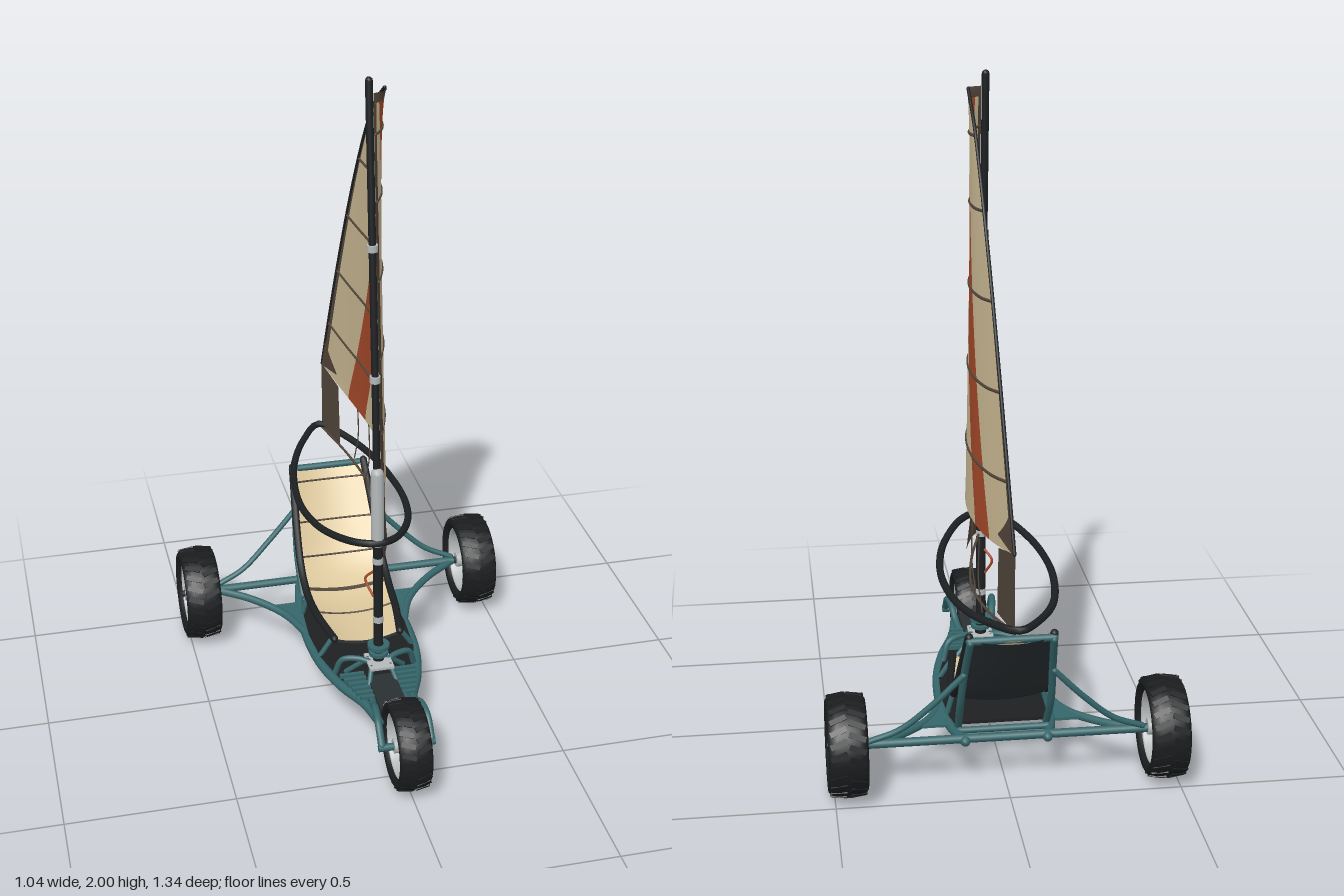
import * as THREE from 'three';

const mat = (color, side = THREE.FrontSide) => new THREE.MeshStandardMaterial({ color, side });
const TEAL = mat(0x35666a), BLACK = mat(0x1d2022), DARK = mat(0x2a2f32, THREE.DoubleSide);
const SILVER = mat(0xb4b8b8, THREE.DoubleSide), RUBBER = mat(0x1a1c1e);
const CLOTH = mat(0xcdbb94, THREE.DoubleSide), SEAT = mat(0xdcc79c, THREE.DoubleSide);
const ORANGE = mat(0xa84a2a, THREE.DoubleSide), BROWN = mat(0x51453a, THREE.DoubleSide);
const lerp = THREE.MathUtils.lerp;
const V = (p) => new THREE.Vector3(...p);

function add(parent, name, geo, material, pos = [0, 0, 0]) {
  const m = new THREE.Mesh(geo, material);
  m.name = name;
  m.position.set(...pos);
  parent.add(m);
  return m;
}

function tube(parent, name, material, pts, r, closed = false) {
  const curve = new THREE.CatmullRomCurve3(pts.map(V), closed);
  const seg = pts.length === 2 ? 1 : pts.length * 6;
  const m = add(parent, name, new THREE.TubeGeometry(curve, seg, r, 10, closed), material);
  if (!closed) // round ends
    for (const p of [pts[0], pts[pts.length - 1]]) add(m, name + 'End', new THREE.SphereGeometry(r, 10, 6), material, p);
  return m;
}

// the same tube on the left and on the right
function tubePair(parent, name, material, pts, r) {
  tube(parent, name + 'Left', material, pts, r);
  tube(parent, name + 'Right', material, pts.map(([x, y, z]) => [-x, y, z]), r);
}

// curved sheet from a rule (s, t in 0..1) -> [x, y, z]
function sheet(parent, name, material, ns, nt, rule) {
  const g = new THREE.PlaneGeometry(1, 1, ns, nt);
  const p = g.attributes.position;
  for (let i = 0; i < p.count; i++) p.setXYZ(i, ...rule(p.getX(i) + 0.5, p.getY(i) + 0.5));
  g.computeVertexNormals();
  return add(parent, name, g, material);
}

// ---- wheels: axle along x
function wheel(name, R, W) {
  const g = new THREE.Group();
  g.name = name;
  const h = W / 2, ri = R * 0.72;
  const ring = (pts) => new THREE.LatheGeometry(pts.map(([r, y]) => new THREE.Vector2(r, y)), 48).rotateZ(Math.PI / 2);
  const half = [[ri, -h * 0.72], [R * 0.78, -h * 0.95], [R * 0.87, -h * 0.98], [R * 0.94, -h * 0.86], [R * 0.975, -h * 0.55]];
  const mirrored = half.map(([r, y]) => [r, -y]).reverse();
  add(g, 'tyre', ring([...half, [R * 0.985, 0], ...mirrored]), RUBBER);
  add(g, 'rim', ring([[ri, -h * 0.72], [ri * 0.93, -h * 0.66], [ri * 0.88, 0], [ri * 0.93, h * 0.66], [ri, h * 0.72]]), SILVER);
  // chevron tread blocks
  const n = 26, block = new THREE.BoxGeometry(h * 0.85, R * 0.035, R * 0.11);
  for (let i = 0; i < n; i++)
    for (const s of [-1, 1]) {
      const spin = new THREE.Group();
      spin.rotation.x = ((i + (s > 0 ? 0.5 : 0)) / n) * Math.PI * 2;
      const b = add(spin, 'tread', block, RUBBER, [s * h * 0.46, R * 0.968, 0]);
      b.rotation.set(0, s * 0.35, -s * 0.12);
      g.add(spin);
    }
  // hub and spokes
  add(g, 'hub', new THREE.CylinderGeometry(R * 0.16, R * 0.16, W * 0.8, 20).rotateZ(Math.PI / 2), SILVER);
  add(g, 'axleBolt', new THREE.CylinderGeometry(R * 0.07, R * 0.07, W * 0.95, 12).rotateZ(Math.PI / 2), BLACK);
  for (let i = 0; i < 6; i++) {
    const spin = new THREE.Group();
    spin.rotation.x = (i / 6) * Math.PI * 2;
    add(spin, 'spoke', new THREE.BoxGeometry(W * 0.35, ri * 0.85, R * 0.09), SILVER, [0, ri * 0.5, 0]);
    g.add(spin);
  }
  return g;
}

// ---- sail surface: u runs luff to leech, w foot to head
const HEAD = 1.955;
const luff = (y) => lerp(0.168, 0.062, (y - 0.76) / 1.195);
const leech = (y) => 0.016 - 0.673 * Math.pow(THREE.MathUtils.clamp((HEAD - y) / 1.14, 0, 1), 0.675);
const foot = (u) => 0.763 + 0.052 * u ** 4;
function bulge(u, y) {
  const v = Math.max(0, (y - 0.76) / 1.2);
  return 0.012 + 0.072 * Math.sin(Math.PI * Math.pow(THREE.MathUtils.clamp(u, 0, 1), 0.8)) * (1 - 0.7 * v) + 0.043 * v * u;
}
function sailPoint(u, w) {
  const y = lerp(foot(u), HEAD, w);
  return [bulge(u, y), y, lerp(luff(y), leech(y), u)];
}
// flat-cornered cloth patch that still follows the belly of the sail
function onBelly(z, y, off = 0) {
  return [bulge((luff(y) - z) / (luff(y) - leech(y)), y) + off, y, z];
}

function buildSail() {
  const g = new THREE.Group();
  g.name = 'sail';
  const top = 0.975, a = (w) => lerp(0.575, 0.12, w), b = (w) => lerp(0.75, 0.38, w);
  const c0 = () => 0.05, c1 = () => 0.965;
  const panel = (name, m, u0, u1, w0 = 0, w1 = top) =>
    sheet(g, name, m, 10, 40, (s, t) => {
      const w = lerp(w0, w1, t);
      return sailPoint(lerp(u0(w), u1(w), s), w);
    });
  panel('luffSleeve', BROWN, () => 0, c0);
  panel('frontPanel', CLOTH, c0, a);
  panel('stripe', ORANGE, a, b);
  panel('backPanel', CLOTH, b, c1);
  panel('leechTape', BROWN, c1, () => 1);
  panel('headPatch', BROWN, () => 0, () => 1, top, 1);
  // battens
  for (const w of [0.156, 0.35, 0.547, 0.742, 0.903])
    tube(g, 'batten', BROWN, [0.02, 0.2, 0.4, 0.6, 0.8, 0.99].map((u) => sailPoint(u, w)), 0.0045);
  tube(g, 'leechEdge', BLACK, Array.from({ length: 14 }, (_, i) => sailPoint(1, i / 13)), 0.005);
  // corner patches
  sheet(g, 'tackPatch', BROWN, 4, 10, (s, t) => {
    const y = lerp(0.55, 0.765, t);
    return onBelly(lerp(luff(y), 0.125 - 0.08 * (1 - t) ** 4, s), y);
  });
  sheet(g, 'clewPatch', BROWN, 6, 6, (s, t) => {
    const z = lerp(lerp(-0.505, -0.53, t), -0.657, s);
    return [lerp(0.04, 0.012, s), lerp(0.582, lerp(0.785, 0.815, s), t), z];
  });
  for (const off of [-0.003, 0.003])
    sheet(g, 'clewCorner', BROWN, 6, 6, (s, t) => {
      const y = lerp(lerp(0.825, 0.81, s), lerp(0.83, 0.92, s), t);
      return onBelly(lerp(-0.535, leech(y), s), y, off);
    });
  // foot lines
  tube(g, 'footLine', BROWN, [[0.01, 0.55, 0.16], [0.05, 0.545, 0], [0.08, 0.555, -0.25], [0.06, 0.565, -0.45], [0.01, 0.582, -0.65]], 0.004);
  for (const z of [-0.27, -0.425])
    tube(g, 'reefLine', BROWN, [[0.08, 0.77, z], [0.083, 0.65, z - 0.005], [0.075, 0.56, z - 0.025]], 0.002);
  return g;
}

function buildRig() {
  const g = new THREE.Group();
  g.name = 'rig';
  tube(g, 'mastLower', BLACK, [[0, 0.27, 0.19], [0, 0.62, 0.178]], 0.015);
  tube(g, 'mast', BLACK, [[0, 0.6, 0.178], [0, 1.0, 0.15], [0, 1.5, 0.104], [0, 1.99, 0.058]], 0.011);
  tube(g, 'mastSleeve', SILVER, [[0, 0.61, 0.177], [0, 0.835, 0.168]], 0.02);
  for (const [y, z] of [[0.35, 0.188], [0.55, 0.18], [1.13, 0.139], [1.52, 0.102]])
    add(g, 'mastCollar', new THREE.CylinderGeometry(0.016, 0.016, 0.02, 16), SILVER, [0, y, z]);
  // wishbone boom around the sail
  const side = [[0.06, 0.608, 0.16], [0.13, 0.585, 0.03], [0.16, 0.57, -0.12], [0.16, 0.565, -0.25], [0.13, 0.57, -0.43], [0.07, 0.582, -0.57]];
  const other = side.map(([x, y, z]) => [-x, y, z]).reverse();
  tube(g, 'wishboneBoom', BLACK, [[0, 0.615, 0.192], ...side, [0, 0.592, -0.655], ...other], 0.011, true);
  // mast foot: joint, flange, plate and legs
  add(g, 'mastJoint', new THREE.CylinderGeometry(0.014, 0.018, 0.08, 16), BLACK, [0, 0.24, 0.192]);
  add(g, 'mastFlange', new THREE.CylinderGeometry(0.034, 0.034, 0.012, 20), TEAL, [0, 0.255, 0.191]);
  add(g, 'mastFlangeLower', new THREE.CylinderGeometry(0.03, 0.03, 0.01, 20), TEAL, [0, 0.23, 0.192]);
  add(g, 'mastPlate', new THREE.BoxGeometry(0.075, 0.008, 0.09), SILVER, [0, 0.203, 0.2]);
  tubePair(g, 'mastLegFront', TEAL, [[0.03, 0.2, 0.225], [0.05, 0.14, 0.27]], 0.008);
  tubePair(g, 'mastLegBack', TEAL, [[0.03, 0.2, 0.175], [0.09, 0.14, 0.14]], 0.008);
  tube(g, 'downhaul', ORANGE, [[-0.01, 0.5, 0.16], [-0.03, 0.47, 0.145], [-0.012, 0.42, 0.17]], 0.004);
  return g;
}

function buildSeat() {
  const g = new THREE.Group();
  g.name = 'seat';
  // side profile: half width, height, depth
  const line = new THREE.CatmullRomCurve3([[0.105, 0.2, 0.045], [0.126, 0.198, -0.09], [0.135, 0.205, -0.21], [0.136, 0.25, -0.31], [0.132, 0.35, -0.395], [0.12, 0.515, -0.515]].map(V));
  const at = (t, s, drop = 0) => {
    const p = line.getPoint(t);
    const sag = 0.02 * (1 - s * s) + drop;
    const back = THREE.MathUtils.smoothstep(t, 0.4, 0.75);
    return [p.x * s, p.y - sag * (1 - 0.5 * back), p.z - sag * back];
  };
  sheet(g, 'seatCloth', SEAT, 12, 36, (s, t) => at(t, s * 2 - 1));
  sheet(g, 'seatBacking', DARK, 12, 36, (s, t) => at(t, s * 2 - 1, 0.01));
  const rail = Array.from({ length: 12 }, (_, i) => line.getPoint(i / 11).toArray());
  tubePair(g, 'seatRail', BLACK, rail, 0.012);
  // seams and the crossing strap
  for (const t of [0.25, 0.66, 0.82, 0.95])
    tube(g, 'seam', BROWN, [-1, -0.5, 0, 0.5, 1].map((s) => at(t, s, -0.001)), 0.003);
  sheet(g, 'strap', BROWN, 12, 2, (s, t) => at(lerp(0.44, 0.465, t), s * 2 - 1, -0.004));
  return g;
}

function buildFrame() {
  const g = new THREE.Group();
  g.name = 'frame';
  const rail = [[0.055, 0.15, 0.43], [0.075, 0.142, 0.32], [0.12, 0.132, 0.2], [0.152, 0.125, 0.06], [0.162, 0.122, -0.1], [0.15, 0.127, -0.28], [0.12, 0.145, -0.42]];
  tubePair(g, 'sideRail', TEAL, rail, 0.015);
  // floor between the rails
  const edge = rail.slice(0, 6).map(([x, , z]) => new THREE.Vector2(x - 0.004, z));
  const shape = new THREE.Shape([...edge, ...edge.map((p) => new THREE.Vector2(-p.x, p.y)).reverse()]);
  add(g, 'floor', new THREE.ExtrudeGeometry(shape, { depth: 0.01, bevelEnabled: false }).rotateX(Math.PI / 2), BLACK, [0, 0.138, 0]);
  add(g, 'noseCover', new THREE.BoxGeometry(0.085, 0.02, 0.19), DARK, [0, 0.158, 0.315]);
  // foot slats
  for (const s of [-1, 1])
    for (let i = 0; i < 6; i++)
      add(g, 'footSlat', new THREE.BoxGeometry(0.075 - i * 0.006, 0.012, 0.012), TEAL, [s * (0.083 - i * 0.004), 0.158, 0.19 + i * 0.025]);
  tubePair(g, 'footBar', TEAL, [[0.125, 0.14, 0.14], [0.105, 0.195, 0.155], [0.06, 0.205, 0.175], [0.03, 0.2, 0.19]], 0.009);
  // front fork
  tubePair(g, 'frontFork', TEAL, [[0.05, 0.15, 0.32], [0.058, 0.165, 0.37], [0.068, 0.2, 0.43], [0.074, 0.195, 0.49], [0.075, 0.145, 0.54]], 0.011);
  add(g, 'frontAxle', new THREE.CylinderGeometry(0.011, 0.011, 0.17, 14).rotateZ(Math.PI / 2), TEAL, [0, 0.137, 0.542]);
  // rear axle, seat struts and forward braces
  tube(g, 'rearAxle', TEAL, [[-0.43, 0.148, -0.408], [0.43, 0.148, -0.408]], 0.013);
  tubePair(g, 'seatStrut', TEAL, [[0.4, 0.16, -0.415], [0.31, 0.2, -0.43], [0.22, 0.28, -0.45], [0.13, 0.375, -0.465]], 0.009);
  tubePair(g, 'forwardBrace', TEAL, [[0.4, 0.145, -0.408], [0.3, 0.138, -0.34], [0.21, 0.13, -0.24], [0.155, 0.125, -0.1]], 0.012);
  tubePair(g, 'backStay', TEAL, [[0.13, 0.14, -0.32], [0.132, 0.25, -0.395], [0.126, 0.38, -0.455], [0.118, 0.5, -0.525]], 0.011);
  tube(g, 'backCrossbar', TEAL, [[-0.12, 0.505, -0.522], [0.12, 0.505, -0.522]], 0.011);
  tube(g, 'rearCrossbar', TEAL, [[-0.13, 0.145, -0.35], [0.13, 0.145, -0.35]], 0.01);
  for (const z of [0.03, -0.22]) {
    tube(g, 'floorCrossbar', TEAL, [[-0.155, 0.125, z], [0.155, 0.125, z]], 0.01);
    tubePair(g, 'seatPost', TEAL, [[0.155, 0.125, z], [z > 0 ? 0.105 : 0.135, 0.2, z]], 0.008);
  }
  for (const s of [-1, 1]) {
    const tri = new THREE.Shape([[0.15, -0.29], [0.235, -0.29], [0.165, -0.15]].map(([x, z]) => new THREE.Vector2(s * x, z)));
    add(g, 'gusset', new THREE.ExtrudeGeometry(tri, { depth: 0.008, bevelEnabled: false }).rotateX(Math.PI / 2), TEAL, [0, 0.135, 0]);
  }
  return g;
}

export function createModel() {
  const model = new THREE.Group();
  model.name = 'landYacht';
  const front = wheel('frontWheel', 0.135, 0.1);
  front.position.set(0, 0.137, 0.54);
  model.add(front);
  for (const s of [-1, 1]) {
    const rear = wheel(s > 0 ? 'rearWheelLeft' : 'rearWheelRight', 0.15, 0.116);
    rear.position.set(s * 0.462, 0.15, -0.405);
    model.add(rear);
  }
  model.add(buildFrame(), buildSeat(), buildRig(), buildSail());
  return model;
}
